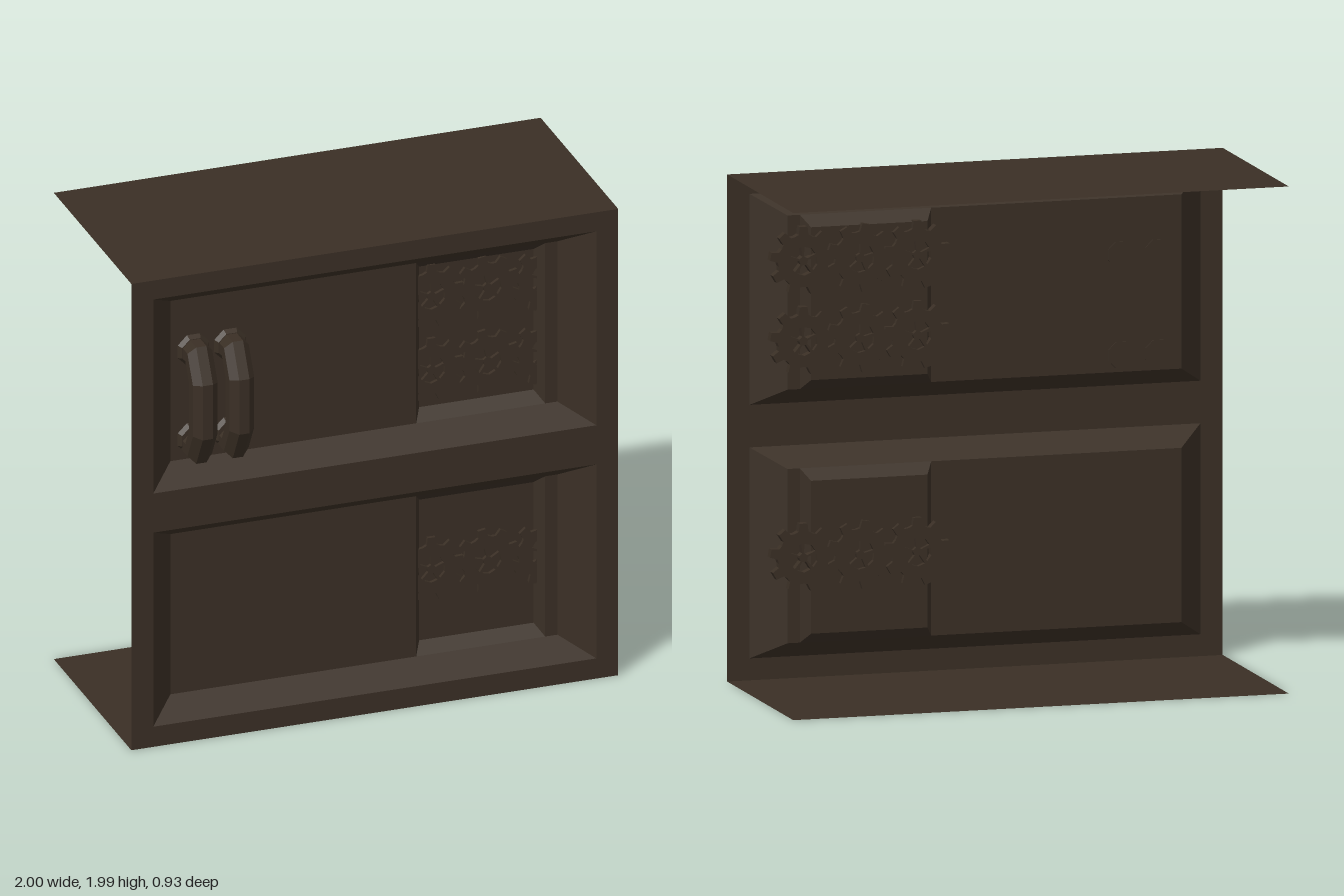
import * as THREE from 'three';

const brown = new THREE.MeshStandardMaterial({ color: 0x3a2f25 });
brown.name = 'darkBrown';
brown.side = THREE.DoubleSide;
brown.flatShading = true;

function addMesh(parent, name, geometry) {
  const mesh = new THREE.Mesh(geometry, brown);
  mesh.name = name;
  parent.add(mesh);
  return mesh;
}

// Skin a list of equal-length closed loops with quads
function skin(loops, caps = false) {
  const pos = [];
  const tri = (...pts) => pts.forEach((p) => pos.push(...p));
  const n = loops[0].length;
  for (let i = 0; i + 1 < loops.length; i++) {
    for (let j = 0; j < n; j++) {
      const k = (j + 1) % n;
      const a = loops[i][j], b = loops[i][k], c = loops[i + 1][k], d = loops[i + 1][j];
      tri(a, b, c);
      tri(a, c, d);
    }
  }
  if (caps) {
    const first = loops[0], last = loops[loops.length - 1];
    for (let j = 1; j + 1 < n; j++) {
      tri(first[0], first[j + 1], first[j]);
      tri(last[0], last[j], last[j + 1]);
    }
  }
  const g = new THREE.BufferGeometry();
  g.setAttribute('position', new THREE.Float32BufferAttribute(pos, 3));
  g.computeVertexNormals();
  return g;
}

const rect = (x0, x1, y0, y1, z) => [[x0, y0, z], [x1, y0, z], [x1, y1, z], [x0, y1, z]];

// Toothed wheel with five wedge-shaped openings around the hub
function gearGeometry() {
  const teeth = 9, outer = 0.135, root = 0.105;
  const step = (Math.PI * 2) / teeth;
  const pts = [];
  for (let i = 0; i < teeth; i++) {
    for (const [f, r] of [[-0.27, root], [-0.17, outer], [0.17, outer], [0.27, root], [0.5, root - 0.004]]) {
      const a = Math.PI / 2 + (i + f) * step;
      pts.push(new THREE.Vector2(Math.cos(a) * r, Math.sin(a) * r));
    }
  }
  const shape = new THREE.Shape(pts);
  for (let i = 0; i < 5; i++) {
    const a = (i * Math.PI * 2) / 5 + 0.3;
    const at = (r, t) => new THREE.Vector2(Math.cos(a + t) * r, Math.sin(a + t) * r);
    shape.holes.push(new THREE.Path([
      at(0.018, 0.1), at(0.055, 0.08), at(0.058, 0.6), at(0.055, 1.1), at(0.018, 1.0),
    ]));
  }
  return new THREE.ExtrudeGeometry(shape, { depth: 0.035, bevelEnabled: false });
}

// Bent bar with octagonal section, swept along a path in the yz plane
function handleGeometry() {
  const path = [[1.615, 0.296], [1.615, 0.36], [1.52, 0.413], [1.315, 0.413], [1.22, 0.36], [1.22, 0.296]]
    .map(([y, z]) => new THREE.Vector2(y, z));
  const r = 0.055;
  const loops = path.map((p, i) => {
    const before = path[Math.max(i - 1, 0)], after = path[Math.min(i + 1, path.length - 1)];
    const d1 = (i ? p.clone().sub(before) : after.clone().sub(p)).normalize();
    const d2 = (i < path.length - 1 ? after.clone().sub(p) : d1.clone()).normalize();
    const t = d1.clone().add(d2).normalize();
    const stretch = 1 / t.dot(d1);
    return Array.from({ length: 8 }, (_, j) => {
      const a = ((j + 0.5) * Math.PI) / 4;
      const s = Math.sin(a) * r * stretch;
      return [Math.cos(a) * r, p.x + t.y * s, p.y - t.x * s];
    });
  });
  return skin(loops, true);
}

export function createModel() {
  const model = new THREE.Group();
  model.name = 'doublePanel';
  const front = 0.41, mid = 0.30, deep = 0.25, back = -0.47, height = 1.99;

  // Front frame with two openings
  const frame = new THREE.Shape([[-1, 0], [1, 0], [1, height], [-1, height]].map((p) => new THREE.Vector2(...p)));
  const bays = [
    { name: 'lowerBay', y: 0.5, gearRows: [0.503] },
    { name: 'upperBay', y: 1.495, gearRows: [1.353, 1.668] },
  ];
  for (const { y } of bays) {
    frame.holes.push(new THREE.Path(rect(-0.91, 0.91, y - 0.414, y + 0.414, 0)
      .map((p) => new THREE.Vector2(p[0], p[1]))));
  }
  addMesh(model, 'frontFrame', new THREE.ShapeGeometry(frame)).position.z = front;

  // Top and bottom sheets; the sides and rear stay open
  for (const [name, y] of [['topSheet', height], ['bottomSheet', 0]]) {
    const sheet = addMesh(model, name, new THREE.PlaneGeometry(2, front - back));
    sheet.rotation.x = -Math.PI / 2;
    sheet.position.set(0, y, (front + back) / 2);
  }

  // Recessed bays, each with a deeper gear well
  const gear = gearGeometry();
  for (const { name, y, gearRows } of bays) {
    const bay = new THREE.Group();
    bay.name = name;
    model.add(bay);
    const opening = rect(-0.91, 0.91, y - 0.414, y + 0.414, front);
    const floor = rect(-0.8, 0.79, y - 0.342, y + 0.342, mid);
    const wellTop = rect(0.21, 0.74, y - 0.342, y + 0.342, mid);
    const wellFloor = rect(0.24, 0.71, y - 0.3, y + 0.3, deep);
    addMesh(bay, 'bayWalls', skin([opening, floor]));
    for (const [x0, x1] of [[-0.8, 0.21], [0.74, 0.79]]) {
      const plate = addMesh(bay, 'bayFloor', new THREE.PlaneGeometry(x1 - x0, 0.684));
      plate.position.set((x0 + x1) / 2, y, mid);
    }
    addMesh(bay, 'wellWalls', skin([wellTop, wellFloor]));
    addMesh(bay, 'wellFloor', new THREE.PlaneGeometry(0.47, 0.6)).position.set(0.475, y, deep);

    // Rows of three meshing gears
    for (const gy of gearRows) {
      for (let i = 0; i < 3; i++) {
        const wheel = addMesh(bay, 'gear', gear);
        wheel.position.set(0.286 + i * 0.23, gy, 0.23);
        wheel.rotation.z = i % 2 ? Math.PI / 18 : 0;
      }
    }
  }

  // Pair of handles with foot collars
  const bar = handleGeometry();
  const collar = new THREE.CylinderGeometry(0.058, 0.07, 0.02, 8).rotateX(Math.PI / 2).rotateZ(Math.PI / 8);
  for (const x of [-0.705, -0.555]) {
    addMesh(model, 'handleBar', bar).position.x = x;
    for (const y of [1.615, 1.24]) {
      addMesh(model, 'handleCollar', collar).position.set(x, y, mid + 0.01);
    }
  }
  return model;
}
